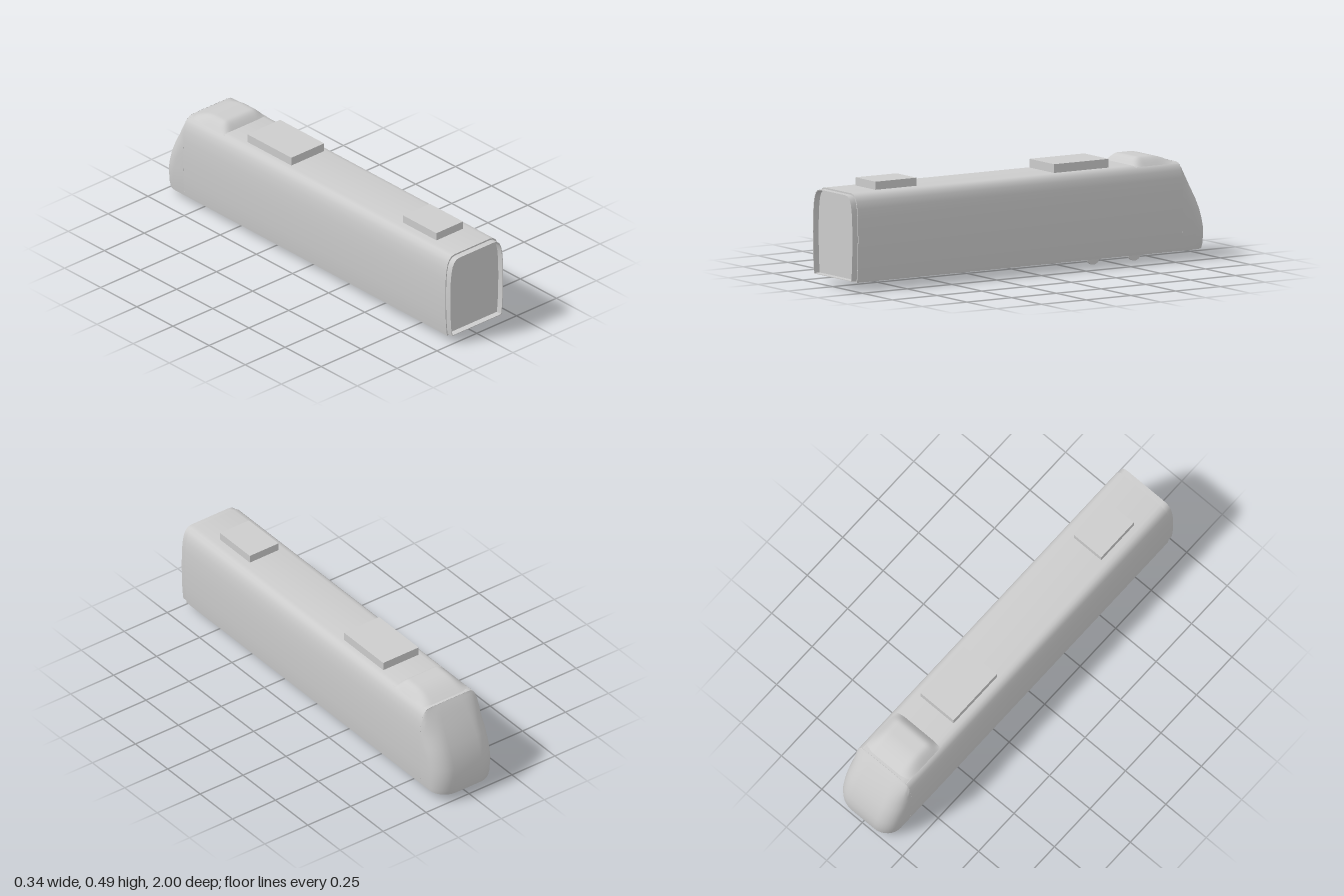
import * as THREE from 'three';
import { toCreasedNormals } from 'three/addons/utils/BufferGeometryUtils.js';

const grey = new THREE.MeshStandardMaterial({ color: 0xcccccc, side: THREE.DoubleSide });
grey.name = 'plain grey';

// Right half of the car section, bottom to top
const HALF = [[0.16, 0.035], [0.164, 0.07], [0.168, 0.13], [0.17, 0.24], [0.168, 0.33],
  [0.163, 0.38], [0.155, 0.414], [0.145, 0.433], [0.13, 0.446], [0.11, 0.45]];

function section(kx = 1, ky = 1, cls = THREE.Shape) {
  const fit = ([x, y]) => new THREE.Vector2(x * kx, 0.243 + (y - 0.243) * ky);
  const right = HALF.map(fit);
  const left = HALF.map(([x, y]) => fit([-x, y])).reverse();
  return new cls([...right, ...left]);
}

function add(group, name, geometry, x = 0, y = 0, z = 0) {
  const mesh = new THREE.Mesh(geometry, grey);
  mesh.name = name;
  mesh.position.set(x, y, z);
  group.add(mesh);
  return mesh;
}

// Straight length of the car, from z0 to z1
function extrude(shape, depth) {
  return toCreasedNormals(new THREE.ExtrudeGeometry(shape, { depth, bevelEnabled: false }), 0.7);
}

// Rounded sloping nose, lofted from horizontal outlines
function noseGeometry() {
  const zs = -0.845;
  const levels = [[0.035, 0, zs], // closes the floor
    [0.035, 0.16, -0.995], [0.06, 0.163, -1], [0.125, 0.168, -1], [0.17, 0.169, -0.991],
    [0.22, 0.17, -0.976], [0.27, 0.17, -0.955], [0.32, 0.168, -0.929], [0.36, 0.165, -0.906],
    [0.395, 0.16, -0.884], [0.42, 0.152, -0.868], [0.438, 0.141, -0.855], [0.45, 0.115, -0.846]];
  const steps = 8;
  const pos = [], index = [];
  const cols = 2 * (steps + 2);
  for (const [y, w, zf] of levels) {
    const rx = Math.min(0.09, w), rz = Math.min(0.085, zs - zf);
    const side = [[w, zs]];
    for (let i = 0; i <= steps; i++) {
      const a = (i / steps) * Math.PI / 2;
      side.push([w - rx + rx * Math.cos(a), zf + rz - rz * Math.sin(a)]);
    }
    for (const [x, z] of side) pos.push(x, y, z);
    for (const [x, z] of side.reverse()) pos.push(-x, y, z);
  }
  for (let r = 0; r < levels.length - 1; r++) {
    for (let c = 0; c < cols - 1; c++) {
      const a = r * cols + c, b = a + cols;
      index.push(a, a + 1, b + 1, a, b + 1, b);
    }
  }
  const g = new THREE.BufferGeometry();
  g.setAttribute('position', new THREE.Float32BufferAttribute(pos, 3));
  g.setIndex(index);
  return toCreasedNormals(g, 0.7);
}

// Soft roof fairing: a plane raised by a length profile and a width profile
function fairingGeometry() {
  const g = new THREE.PlaneGeometry(0.27, 0.25, 24, 24).rotateX(-Math.PI / 2);
  const p = g.attributes.position;
  const ease = (t) => Math.sin(Math.min(1, Math.max(0, t)) * Math.PI / 2);
  for (let i = 0; i < p.count; i++) {
    const fromFront = 0.125 - p.getZ(i), fromNose = 0.125 + p.getZ(i);
    const along = Math.min(ease(fromFront / 0.055), ease(fromNose / 0.14));
    const across = ease((0.135 - Math.abs(p.getX(i))) / 0.055);
    p.setY(i, 0.041 * along * across);
  }
  g.computeVertexNormals();
  return g;
}

export function createModel() {
  const model = new THREE.Group();
  model.name = 'railCar';

  add(model, 'body', extrude(section(), 1.815), 0, 0, -0.845);
  add(model, 'nose', noseGeometry());

  // Thin open frame around the recessed end wall
  const frame = section(0.975, 0.965);
  frame.holes.push(section(0.955, 0.95, THREE.Path));
  add(model, 'endFrame', extrude(frame, 0.03), 0, 0, 0.97);

  // Roof equipment
  add(model, 'roofFairing', fairingGeometry(), 0, 0.444, -0.72);
  add(model, 'largeRoofUnit', new THREE.BoxGeometry(0.206, 0.05, 0.305), 0, 0.466, -0.322);
  add(model, 'smallRoofUnit', new THREE.BoxGeometry(0.167, 0.048, 0.23), -0.002, 0.464, 0.7);

  // Wheels half sunk into the floor
  const wheel = toCreasedNormals(
    new THREE.CylinderGeometry(0.035, 0.035, 0.012, 16).rotateZ(Math.PI / 2), 0.7);
  for (const x of [-0.097, 0.096]) {
    for (const z of [-0.39, -0.62]) add(model, 'wheel', wheel, x, 0.035, z);
  }
  return model;
}
